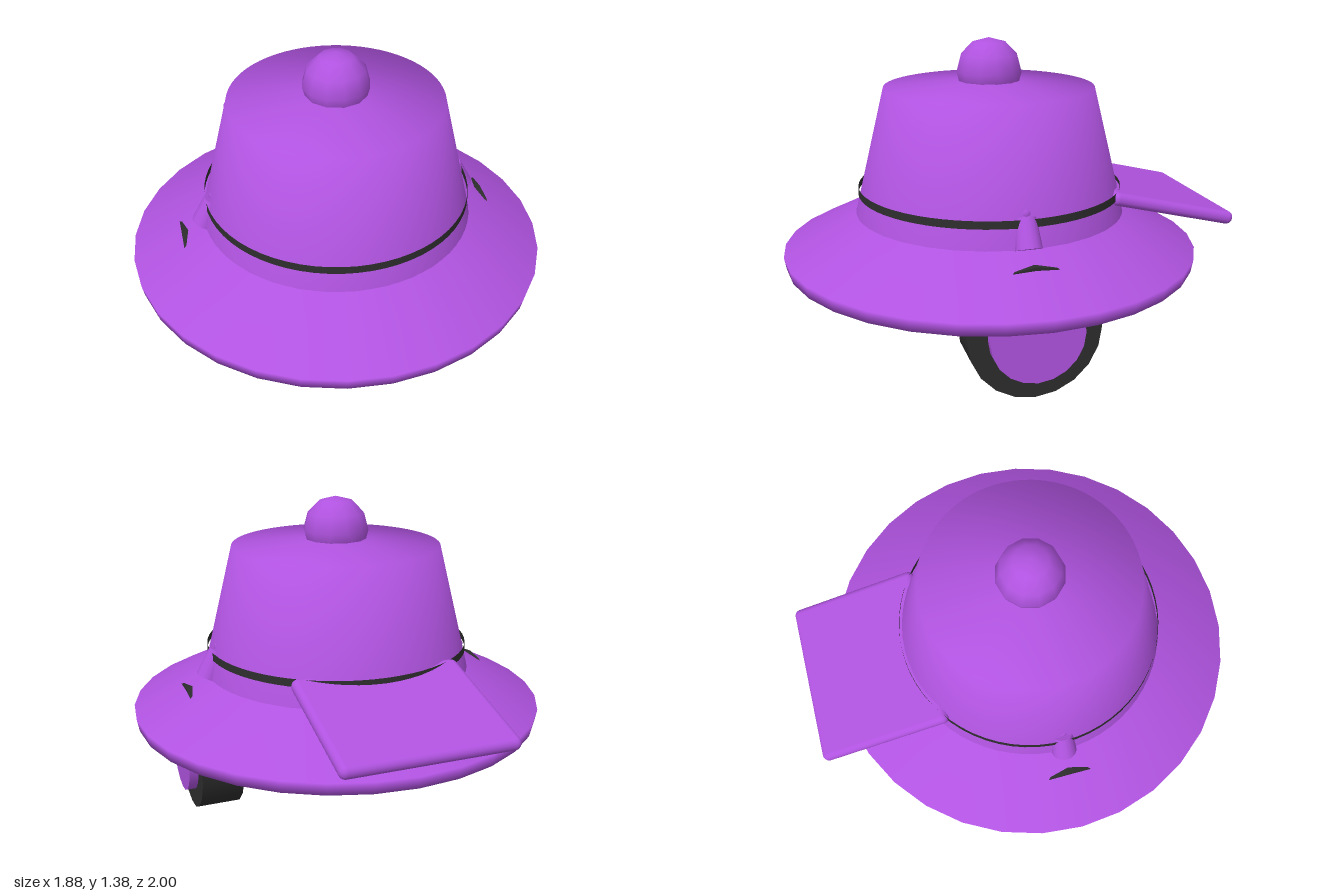
import * as THREE from 'three';
import { RoundedBoxGeometry } from 'three/addons/geometries/RoundedBoxGeometry.js';

export function createModel() {
  const model = new THREE.Group();
  model.name = 'hatOnWheels';
  const purple = new THREE.MeshStandardMaterial({ color: 0xb053e0, side: THREE.DoubleSide });
  purple.name = 'purple';
  const black = new THREE.MeshStandardMaterial({ color: 0x2d2d2d, side: THREE.DoubleSide });
  black.name = 'black';

  const add = (parent, name, geometry, material, x = 0, y = 0, z = 0) => {
    const mesh = new THREE.Mesh(geometry, material);
    mesh.name = name;
    mesh.position.set(x, y, z);
    parent.add(mesh);
    return mesh;
  };
  const lathe = (points, sides) =>
    new THREE.LatheGeometry(points.map(([r, y]) => new THREE.Vector2(r, y)), sides);

  // Everything but the flap shares one axis, slightly forward of centre
  const body = new THREE.Group();
  body.name = 'body';
  body.position.z = 0.06;
  model.add(body);

  // Brim with a hollow underside
  add(body, 'brim', lathe([
    [0.615, 0.6], [0.62, 0.45], [0.93, 0.385], [0.94, 0.44], [0.61, 0.603],
  ], 32), purple);

  // Tapered crown with a shallow conical top
  add(body, 'crown', lathe([[0.61, 0.6], [0.47, 1.165], [0, 1.2]], 64), purple);

  // Hat band
  add(body, 'band', new THREE.CylinderGeometry(0.595, 0.597, 0.034, 64, 1, true), black, 0, 0.707, 0);

  // Round knob on top
  add(body, 'topKnob', new THREE.SphereGeometry(0.148, 12, 6), purple, 0, 1.23, 0);

  for (const side of [1, -1]) {
    const label = side > 0 ? 'left' : 'right';

    // Wheel: dark tyre and a hub cap on the outer face
    const wheel = new THREE.Group();
    wheel.name = label + 'Wheel';
    wheel.position.set(side * 0.6225, 0.283, 0);
    wheel.rotation.z = -side * Math.PI / 2;
    body.add(wheel);
    add(wheel, 'tyre', new THREE.CylinderGeometry(0.283, 0.283, 0.185, 20), black);
    add(wheel, 'hubCap', new THREE.CylinderGeometry(0.2, 0.2, 0.04, 20), purple, 0, 0.1125, 0);

    // Small tilted peg beside the band
    const peg = new THREE.Group();
    peg.name = label + 'Peg';
    peg.position.set(side * 0.582, 0.66, 0);
    peg.rotation.z = side * 0.42;
    body.add(peg);
    add(peg, 'pegBody', new THREE.CylinderGeometry(0.046, 0.057, 0.13, 16), purple);
    add(peg, 'pegTip', new THREE.SphereGeometry(0.032, 12, 8), purple, 0, 0.085, 0);
  }

  // Sloping flap at the back
  const flap = add(model, 'backFlap', new RoundedBoxGeometry(0.75, 0.06, 0.61, 4, 0.029),
    purple, 0, 0.63, -0.7);
  flap.rotation.x = -0.24;

  return model;
}
